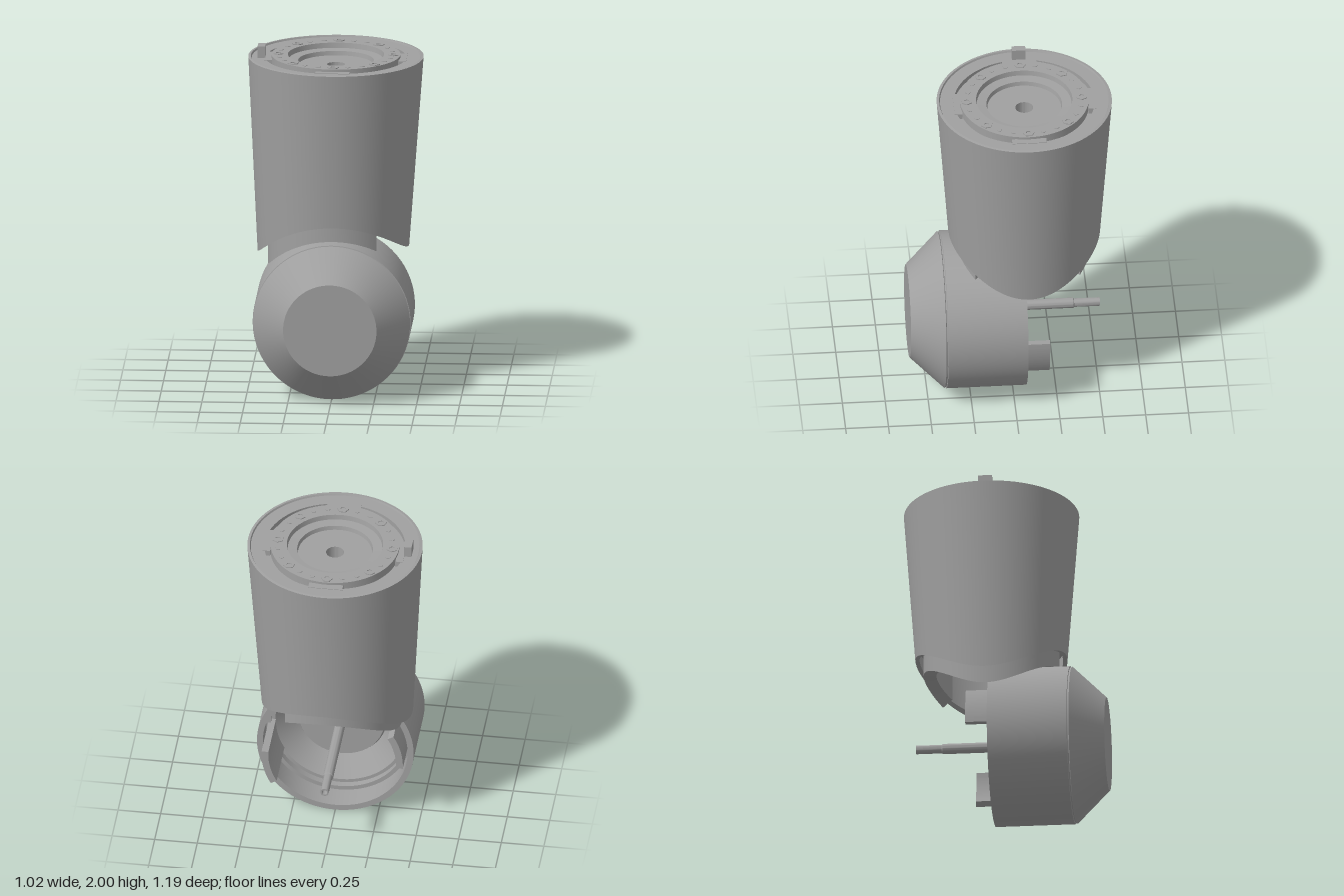
import * as THREE from 'three';
import { toCreasedNormals } from 'three/addons/utils/BufferGeometryUtils.js';

const AXIS_Y = 0.46;   // height of the horizontal joint axis
const BARREL_Z = -0.08; // vertical barrel axis

const crease = (g) => toCreasedNormals(g, 0.5);
const lathe = (pts, segments = 96) =>
  crease(new THREE.LatheGeometry(pts.map(([r, y]) => new THREE.Vector2(r, y)), segments));

// Vertical wall whose lower edge is cut by a cylinder around the joint axis.
function saddleWall(outer, inner, top, cut, from, to, segments, capped) {
  const point = (radius, y, a) =>
    new THREE.Vector3(radius(y, a) * Math.cos(a), y, radius(y, a) * Math.sin(a));
  const lowPoint = (radius, a) => {
    let y = AXIS_Y + cut;
    for (let i = 0; i < 8; i++) {
      const x = radius(y, a) * Math.cos(a);
      y = AXIS_Y + Math.sqrt(Math.max(0, cut * cut - x * x));
    }
    return point(radius, y, a);
  };
  const section = (a) => [point(outer, top, a), lowPoint(outer, a), lowPoint(inner, a), point(inner, 1.1, a)];
  const pos = [];
  const tri = (...ps) => ps.forEach((p) => pos.push(p.x, p.y, p.z));
  const rows = [];
  for (let j = 0; j <= segments; j++) rows.push(section(from + ((to - from) * j) / segments));
  for (let j = 0; j < segments; j++) {
    for (let k = 0; k < 3; k++) {
      const a = rows[j][k], b = rows[j + 1][k], c = rows[j][k + 1], d = rows[j + 1][k + 1];
      tri(a, b, c);
      tri(b, d, c);
    }
  }
  if (capped) {
    const s = rows[0], e = rows[segments];
    tri(s[0], s[1], s[2]); tri(s[0], s[2], s[3]);
    tri(e[0], e[2], e[1]); tri(e[0], e[3], e[2]);
  }
  const g = new THREE.BufferGeometry();
  g.setAttribute('position', new THREE.Float32BufferAttribute(pos, 3));
  return crease(g);
}

export function createModel() {
  const root = new THREE.Group();
  root.name = 'robotWristJoint';
  const grey = new THREE.MeshStandardMaterial({ color: 0xa0a0a0 });
  grey.name = 'machineGrey';
  const add = (parent, name, geometry, x = 0, y = 0, z = 0) => {
    const m = new THREE.Mesh(geometry, grey);
    m.name = name;
    m.position.set(x, y, z);
    parent.add(m);
    return m;
  };

  // Upper barrel: tapered shell, slightly fuller on the -x side
  const barrel = new THREE.Group();
  barrel.name = 'barrel';
  barrel.position.z = BARREL_Z;
  root.add(barrel);
  const barrelRadius = (y, a) =>
    0.51 - 0.0745 * (1.94 - y) + 0.028 * (1.94 - y) * Math.max(0, -Math.cos(a));
  add(barrel, 'barrelShell',
    saddleWall(barrelRadius, (y, a) => barrelRadius(y, a) - 0.025, 1.94, 0.555, 0, Math.PI * 2, 96, false));

  // Flange face, groove, bolt ring, recess and through bore
  add(barrel, 'flangeAndBore', lathe([
    [0.51, 1.94], [0.495, 1.942], [0.49, 1.932], [0.41, 1.932], [0.41, 1.9], [0.375, 1.9],
    [0.375, 1.95], [0.28, 1.95], [0.275, 1.92], [0.22, 1.915], [0.215, 1.89], [0.052, 1.89],
    [0.052, 1.1], [0.43, 1.1],
  ]));

  // Bridges across the groove, and the ring of bolts and pins
  for (let i = 0; i < 4; i++) {
    const a = (i * Math.PI) / 2;
    const bridge = add(barrel, 'grooveBridge', new THREE.BoxGeometry(0.045, 0.04, 0.2),
      0.39 * Math.cos(a), 1.915, 0.39 * Math.sin(a));
    bridge.rotation.y = -a;
  }
  for (let i = 0; i < 24; i++) {
    const a = (i * Math.PI) / 12;
    const x = 0.335 * Math.cos(a), z = 0.335 * Math.sin(a);
    if (i % 3 === 0) {
      const bolt = add(barrel, 'hexBolt', lathe([
        [0.034, 1.945], [0.034, 1.955], [0.016, 1.955], [0.016, 1.948], [0, 1.948],
      ], 6), x, 0, z);
      bolt.rotation.y = -a;
    } else {
      const pin = add(barrel, 'pin', crease(new THREE.CylinderGeometry(0.016, 0.016, 0.008, 5)), x, 1.949, z);
      pin.rotation.y = -a;
    }
  }
  add(barrel, 'locatingTab', new THREE.BoxGeometry(0.045, 0.08, 0.08), -0.432, 1.96, 0);

  // Neck between barrel and drum, open on the +x side
  add(barrel, 'neck', saddleWall(() => 0.395, () => 0.32, 1.1, 0.462,
    0.88, Math.PI * 2 - 0.88, 64, true));

  // Lower drum: hollow at the back, conical at the front
  const drum = new THREE.Group();
  drum.name = 'drum';
  drum.position.y = AXIS_Y;
  root.add(drum);
  add(drum, 'drumShell', lathe([
    [0, 0.3], [0.05, 0.3], [0.05, 0.2], [0.25, 0.2], [0.26, 0.22], [0.38, 0.12], [0.4, 0.12], [0.4, 0.08],
    [0.425, 0.08], [0.425, -0.07], [0.46, -0.07], [0.46, 0.395], [0.452, 0.397], [0.452, 0.403],
    [0.457, 0.407], [0.272, 0.6], [0, 0.6],
  ]).rotateX(Math.PI / 2));

  // Two curved guide plates, half a turn apart
  const arc = new THREE.Shape();
  arc.absarc(0, 0, 0.415, -0.52, 0.05, false);
  arc.absarc(0, 0, 0.375, 0.05, -0.52, true);
  const plate = crease(new THREE.ExtrudeGeometry(arc, { depth: 0.36, bevelEnabled: false, curveSegments: 16 }));
  for (let i = 0; i < 2; i++) {
    add(drum, 'guidePlate', plate, 0, 0, -0.2).rotation.z = i * Math.PI;
  }

  // Stepped hollow tube along the joint axis
  add(drum, 'centreTube', lathe([
    [0.016, 0.3], [0.016, -0.52], [0.025, -0.52], [0.025, -0.37], [0.03, -0.365], [0.03, 0.3],
  ], 32).rotateX(Math.PI / 2), 0, 0.005, 0);

  return root;
}
